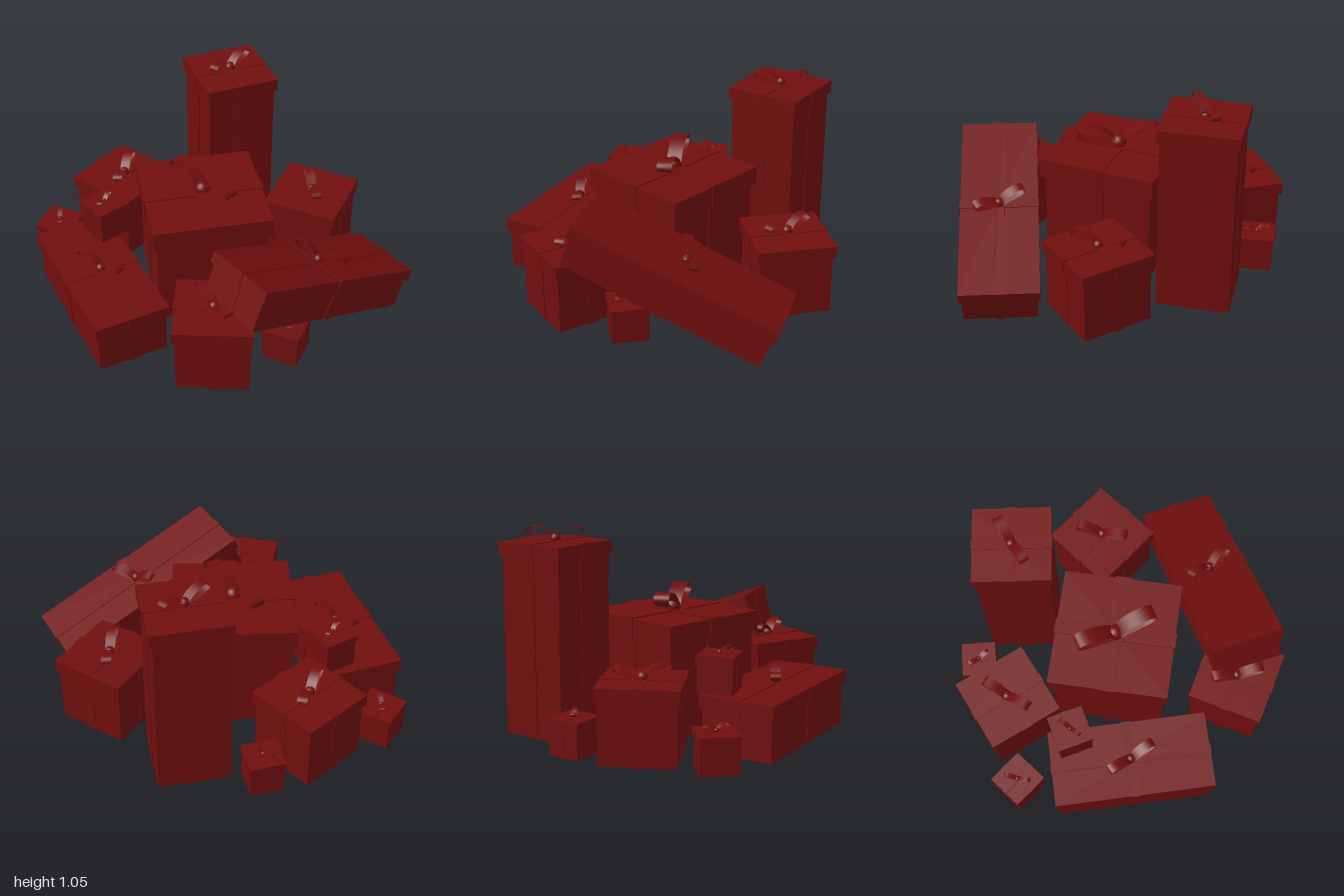
import * as THREE from 'three';

const red = new THREE.MeshStandardMaterial({ color: 0x700e0e });
const ribbonRed = new THREE.MeshStandardMaterial({ color: 0x700e0e, side: THREE.DoubleSide });
const rad = THREE.MathUtils.degToRad;

function addBox(parent, name, w, h, d, y) {
  const mesh = new THREE.Mesh(new THREE.BoxGeometry(w, h, d), red);
  mesh.name = name;
  mesh.position.y = y;
  parent.add(mesh);
}

// One bow loop: a flat ribbon bent along a teardrop curve
function loopGeometry() {
  const v = (x, y) => new THREE.Vector3(x, y, 0);
  const path = new THREE.CurvePath();
  path.add(new THREE.CubicBezierCurve3(v(0, 0.012), v(0.04, 0.075), v(0.13, 0.09), v(0.138, 0.056)));
  path.add(new THREE.CubicBezierCurve3(v(0.138, 0.03), v(0.06, 0.02), v(0, 0.008)));
  path.curves[1] = new THREE.CubicBezierCurve3(v(0.138, 0.056), v(0.138, 0.03), v(0.06, 0.02), v(0, 0.008));
  const geo = new THREE.PlaneGeometry(1, 0.05, 28, 1);
  const pos = geo.attributes.position;
  for (let i = 0; i < pos.count; i++) {
    const p = path.getPoint(THREE.MathUtils.clamp(pos.getX(i) + 0.5, 0, 1));
    pos.setXYZ(i, p.x, p.y, pos.getY(i));
  }
  geo.computeVertexNormals();
  return geo;
}

// Two mirrored loops with a round knot between them
function makeBow(scale) {
  const bow = new THREE.Group();
  bow.name = 'bow';
  const geo = loopGeometry();
  for (const turn of [0, Math.PI]) {
    const loop = new THREE.Mesh(geo, ribbonRed);
    loop.name = 'bowLoop';
    loop.rotation.y = turn;
    bow.add(loop);
  }
  const knot = new THREE.Mesh(new THREE.SphereGeometry(0.026, 20, 14), red);
  knot.name = 'bowKnot';
  knot.position.y = 0.012;
  bow.add(knot);
  bow.scale.setScalar(scale);
  return bow;
}

// Gift box standing on its own origin: body, overhanging lid, crossed ribbon, bow
function makeGift({ name, w, d, h, bow }) {
  const gift = new THREE.Group();
  gift.name = name;
  const s = Math.min(w, d) / 0.39;
  const lid = 0.063 * s, inset = 0.028 * s, strap = 0.05 * s, t = 0.008 * s;
  const bw = w - inset, bd = d - inset, bh = h - lid;
  addBox(gift, 'body', bw, bh, bd, bh / 2);
  addBox(gift, 'lid', w, lid, d, h - lid / 2);
  // ribbon bands round the body
  addBox(gift, 'bodyRibbonAcross', bw + t, bh + t, strap, bh / 2);
  addBox(gift, 'bodyRibbonAlong', strap, bh + t, bd + t, bh / 2);
  // ribbon bands over the lid
  addBox(gift, 'lidRibbonAcross', w + t, lid + t, strap, h - lid / 2);
  addBox(gift, 'lidRibbonAlong', strap, lid + t, d + t, h - lid / 2);
  const b = makeBow(s);
  b.position.y = h;
  b.rotation.y = rad(bow);
  gift.add(b);
  return gift;
}

export function createModel() {
  const model = new THREE.Group();
  model.name = 'giftPile';
  const floor = 0.013;
  // turn and bow are in degrees; bow is relative to the box
  const gifts = [
    { name: 'tallGift', x: -0.185, z: -0.59, w: 0.39, d: 0.39, h: 0.955, turn: 45, bow: 30 },
    { name: 'largeGift', x: -0.075, z: 0, w: 0.61, d: 0.61, h: 0.577, turn: 35.5, bow: -59 },
    { name: 'backRightGift', x: 0.345, z: -0.5, w: 0.395, d: 0.395, h: 0.367, turn: 0, bow: -60 },
    { name: 'backLeftGift', x: -0.655, z: -0.22, w: 0.395, d: 0.395, h: 0.367, turn: -14.8, bow: -63 },
    { name: 'smallBackGift', x: -0.585, z: -0.535, w: 0.18, d: 0.18, h: 0.18, turn: -42, bow: 34 },
    { name: 'smallSideGift', x: -0.905, z: 0.083, w: 0.195, d: 0.195, h: 0.18, turn: 0, bow: -60 },
    { name: 'longGift', x: -0.44, z: 0.455, w: 0.825, d: 0.39, h: 0.277, turn: -39, bow: 26 },
    { name: 'smallStackedGift', x: -0.57, z: 0.155, y: 0.293, w: 0.185, d: 0.185, h: 0.18, turn: -26, bow: -59 },
    { name: 'frontGift', x: 0.245, z: 0.565, w: 0.39, d: 0.39, h: 0.367, turn: 21.7, bow: -57 },
    { name: 'smallShelteredGift', x: 0.538, z: 0.34, w: 0.195, d: 0.195, h: 0.18, turn: 0, bow: -60 },
    { name: 'leaningLongGift', x: 0.548, z: 0.139, y: 0.196, w: 0.39, d: 1.083, h: 0.225, turn: -27.5, tilt: -21.7, bow: 25 },
  ];
  for (const g of gifts) {
    const gift = makeGift(g);
    gift.position.set(g.x, g.y ?? floor, g.z);
    gift.rotation.set(rad(g.tilt ?? 0), rad(g.turn), 0, 'YXZ');
    model.add(gift);
  }
  return model;
}
